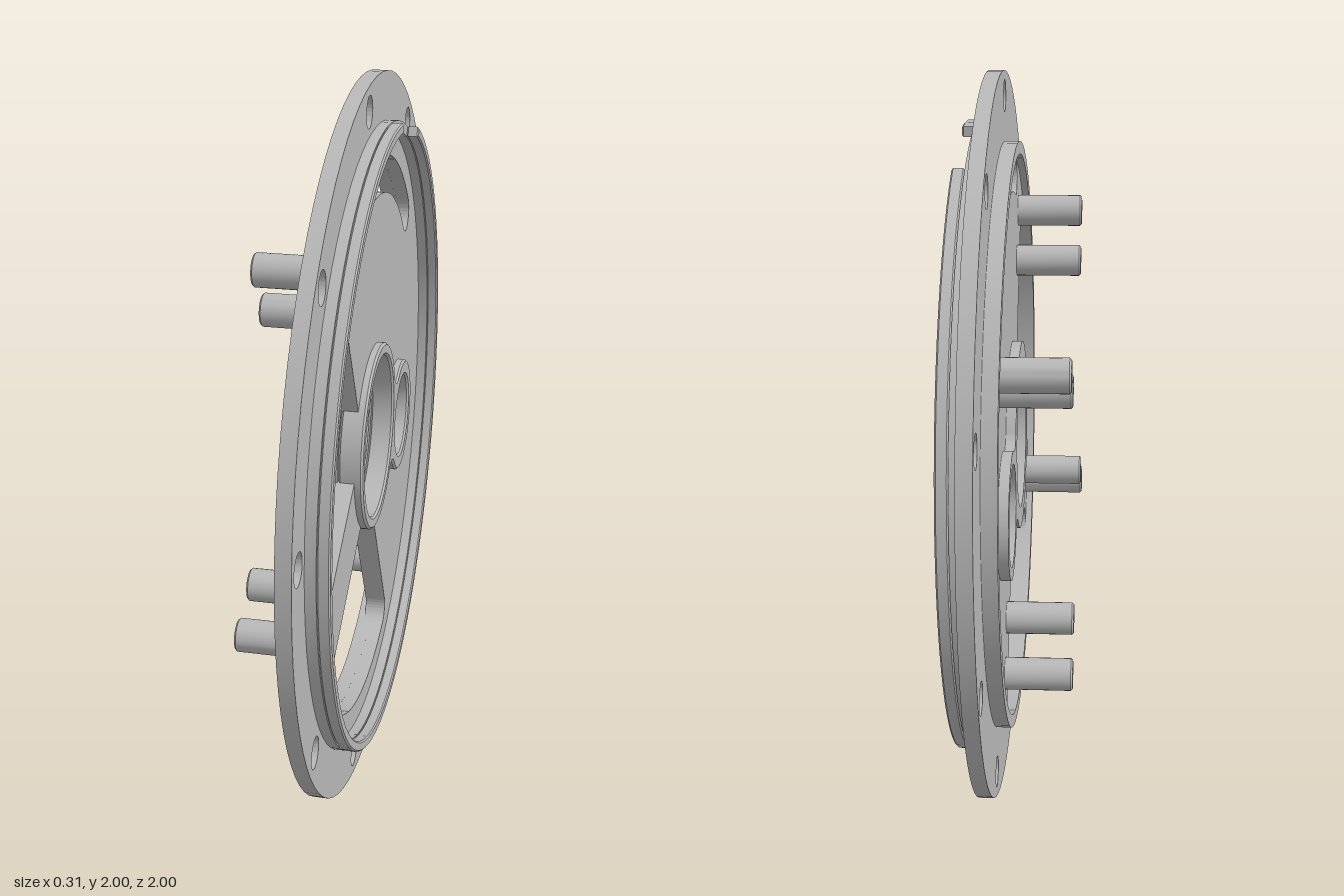
import * as THREE from 'three';
import { toCreasedNormals } from 'three/addons/utils/BufferGeometryUtils.js';

const rad = THREE.MathUtils.degToRad;
const polar = (r, a) => [r * Math.cos(a), r * Math.sin(a)];

// full circle, usable as outline or hole
function circle(r, x = 0, y = 0) {
  const s = new THREE.Shape();
  s.absarc(x, y, r, 0, Math.PI * 2, false);
  return s;
}

// band between two radii over an angle range
function arcBand(r0, r1, a0, a1) {
  const s = new THREE.Shape();
  s.absarc(0, 0, r1, a0, a1, false);
  s.absarc(0, 0, r0, a1, a0, true);
  s.closePath();
  return s;
}

// quarter window beside the spokes, outer corners rounded
function windowHole(t) {
  const half = 0.104, f = 0.05, R = 0.778, r = 0.25, q = Math.PI / 2;
  const d = Math.asin((half + f) / (R - f)), e = Math.asin(half / r);
  const s = new THREE.Path();
  s.absarc(0, 0, R, t + d, t + q - d, false);
  s.absarc(...polar(R - f, t + q - d), f, t + q - d, t + 2 * q, false);
  s.absarc(0, 0, r, t + q - e, t + e, true);
  s.absarc(...polar(R - f, t + d), f, t - q, t + d, false);
  s.closePath();
  return s;
}

// curved slot with round ends
function slotHole(a0, a1) {
  const r = 0.727, w = 0.051;
  const s = new THREE.Path();
  s.absarc(0, 0, r + w, a0, a1, false);
  s.absarc(...polar(r, a1), w, a1, a1 + Math.PI, false);
  s.absarc(0, 0, r - w, a1, a0, true);
  s.absarc(...polar(r, a0), w, a0 + Math.PI, a0 + Math.PI * 2, false);
  s.closePath();
  return s;
}

// large and small boss joined by fillets, lying along local x
const BOSS_DIST = 0.401, BOSS_ANGLE = Math.atan2(-0.094, 0.39);
function bossShape(bore, smallBore) {
  const R = 0.263, r = 0.169, f = 0.05, D = BOSS_DIST;
  const x = (D * D + (R + f) ** 2 - (r + f) ** 2) / (2 * D);
  const y = Math.sqrt((R + f) ** 2 - x * x);
  const a = Math.atan2(y, x), b = Math.atan2(y, D - x);
  const s = new THREE.Shape();
  s.absarc(0, 0, R, a, Math.PI * 2 - a, false);
  s.absarc(x, -y, f, Math.PI - a, b, true);
  s.absarc(D, 0, r, b - Math.PI, Math.PI - b, false);
  s.absarc(x, y, f, -b, a - Math.PI, true);
  s.closePath();
  s.holes.push(circle(bore), circle(smallBore, D, 0));
  return s;
}

export function createModel() {
  const metal = new THREE.MeshStandardMaterial({ color: 0xb8b8b8 });
  metal.name = 'grey metal';
  const cover = new THREE.Group();
  cover.name = 'roundCover';

  const add = (name, geometry) => {
    const m = new THREE.Mesh(toCreasedNormals(geometry, 0.5), metal);
    m.name = name;
    cover.add(m);
  };
  // extrude a side-on shape from x0 to x1
  const slab = (name, shape, x0, x1, bevel = 0, turn = 0) => {
    const g = new THREE.ExtrudeGeometry(shape, {
      depth: x1 - x0 - 2 * bevel, curveSegments: 40, bevelEnabled: bevel > 0,
      bevelSize: bevel, bevelThickness: bevel, bevelOffset: -bevel, bevelSegments: 1,
    });
    g.translate(0, 0, x0 + bevel).rotateZ(turn).rotateY(Math.PI / 2);
    add(name, g);
  };
  const openings = () => [
    windowHole(rad(120)), windowHole(rad(210)), slotHole(rad(43), rad(109)),
    circle(0.24), circle(0.15, ...polar(BOSS_DIST, BOSS_ANGLE)),
  ];

  // flange with bolt holes, one piece with the front of the web
  const flange = circle(1);
  flange.holes.push(...openings());
  for (let i = 0; i < 9; i++) flange.holes.push(circle(0.042, ...polar(0.933, rad(96 + 40 * i))));
  slab('flange', flange, 0.05, 0.09);

  // back of the web and spokes
  const web = circle(0.79);
  web.holes.push(...openings());
  slab('web', web, 0.03, 0.0505);

  // rear locating rim
  const rim = circle(0.813);
  rim.holes.push(circle(0.778));
  slab('rearRim', rim, 0.01, 0.0505);

  // front lip, cut down over a short arc
  const lip = circle(0.87);
  lip.holes.push(circle(0.842));
  slab('lipBase', lip, 0.0895, 0.118);
  slab('lipEdge', arcBand(0.842, 0.87, rad(85.3), rad(360 + 66.9)), 0.118, 0.151, 0.004);

  // stepped double boss
  slab('bossFront', bossShape(0.228, 0.123), 0.045, 0.113, 0.006, BOSS_ANGLE);
  slab('bossBack', bossShape(0.205, 0.135), 0.003, 0.045, 0, BOSS_ANGLE);

  // hollow pegs in four pairs on the back
  const profile = [[0, 0.06], [0.02, 0.06], [0.02, -0.154], [0.039, -0.154], [0.044, -0.149], [0.044, 0.035]]
    .map(([r, x]) => new THREE.Vector2(r, -x)).reverse();
  for (let i = 0; i < 4; i++) {
    for (const r of [0.515, 0.667]) {
      const [px, py] = polar(r, rad(120.7 + 90 * i));
      const g = new THREE.LatheGeometry(profile, 28);
      g.rotateZ(Math.PI / 2).translate(0, py, -px);
      add('peg', g);
    }
  }

  // stand it up with its very slight lean
  cover.position.set(0.07, 1, 0);
  cover.rotation.z = -0.005;
  cover.children.forEach((m) => { m.position.x = -0.07; });
  const model = new THREE.Group();
  model.name = 'model';
  model.add(cover);
  return model;
}
